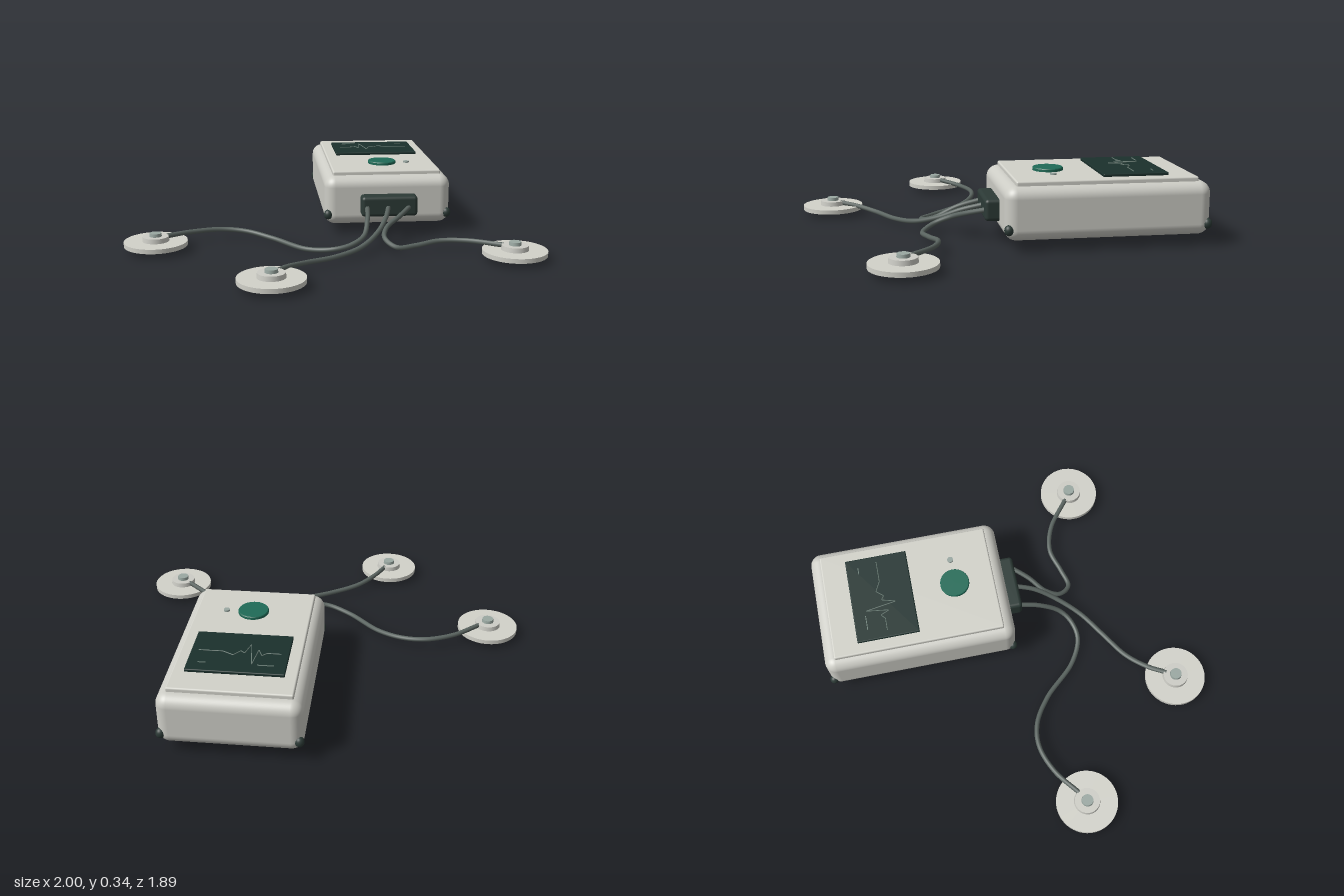
import * as THREE from 'three';
import { RoundedBoxGeometry } from 'three/addons/geometries/RoundedBoxGeometry.js';

const paint = (color) => new THREE.MeshStandardMaterial({ color });
const shell = paint(0xcdcdc6);
const plateMat = paint(0xd2d2ca);
const dark = paint(0x2c3a36);
const glass = paint(0x1b302c);
const green = paint(0x1f6b57);
const metal = paint(0x9aa8a2);
const cableMat = paint(0x59635f);
const traceMat = paint(0x6f827a);

// Centre of the monitor in plan
const CX = 0.312, CZ = -0.466;

export function createModel() {
  const model = new THREE.Group();

  const add = (name, geometry, material, x = 0, y = 0, z = 0, parent = model) => {
    const mesh = new THREE.Mesh(geometry, material);
    mesh.name = name;
    mesh.position.set(x, y, z);
    parent.add(mesh);
    return mesh;
  };
  const vec = (p) => new THREE.Vector3(...p);

  // Housing and raised face plate
  add('housing', new RoundedBoxGeometry(0.644, 0.25, 0.96, 6, 0.055), shell, CX, 0.175, CZ);
  add('facePlate', new RoundedBoxGeometry(0.555, 0.03, 0.85, 3, 0.008), plateMat, CX, 0.305, CZ);

  // Screen with heartbeat trace and status dashes
  add('screen', new RoundedBoxGeometry(0.445, 0.016, 0.31, 3, 0.005), glass, CX, 0.326, -0.61);
  const beat = [
    [0.125, -0.61], [0.19, -0.61], [0.21, -0.63], [0.23, -0.585], [0.245, -0.70], [0.27, -0.545],
    [0.29, -0.615], [0.31, -0.6], [0.34, -0.635], [0.39, -0.61], [0.5, -0.61],
  ];
  const trace = new THREE.CurvePath();
  for (let i = 1; i < beat.length; i++) {
    const [a, b] = [beat[i - 1], beat[i]];
    trace.add(new THREE.LineCurve3(vec([a[0], 0.335, a[1]]), vec([b[0], 0.335, b[1]])));
  }
  add('heartbeatTrace', new THREE.TubeGeometry(trace, 160, 0.0022, 5), traceMat);
  add('leftStatusDash', new THREE.BoxGeometry(0.075, 0.003, 0.004), traceMat, 0.182, 0.335, -0.705);
  add('rightStatusDash', new THREE.BoxGeometry(0.035, 0.003, 0.004), traceMat, 0.467, 0.335, -0.705);

  // Button and indicator lamp
  const profile = (points) => new THREE.LatheGeometry(points.map((p) => new THREE.Vector2(...p)), 48);
  add('button', profile([[0.073, 0], [0.073, 0], [0.073, 0.012], [0.073, 0.012], [0.07, 0.016], [0.07, 0.016], [0, 0.016]]),
    green, CX, 0.319, -0.24);
  add('indicatorLamp', new THREE.CylinderGeometry(0.015, 0.015, 0.01, 24), metal, 0.443, 0.323, -0.24);

  // Cable socket on the front end
  add('cableSocket', new RoundedBoxGeometry(0.285, 0.104, 0.11, 4, 0.018), dark, CX, 0.16, 0.026);

  // Dark studs on the four lower corners
  for (const sx of [-1, 1]) {
    for (const sz of [-1, 1]) {
      const stud = add('cornerStud', new THREE.SphereGeometry(0.022, 20, 14), dark,
        CX + sx * 0.305, 0.105, CZ + sz * 0.463);
      stud.scale.y = 1.15;
    }
  }

  // Electrode pads: thin disc, collar and snap stud
  const pads = [[-0.848, 0.195], [-0.305, 0.787], [0.845, 0.482]];
  pads.forEach(([x, z], i) => {
    const pad = new THREE.Group();
    pad.name = 'electrode' + (i + 1);
    pad.position.set(x, 0, z);
    model.add(pad);
    add('padDisc', new THREE.CylinderGeometry(0.153, 0.153, 0.022, 56), plateMat, 0, 0.036, 0, pad);
    add('padCollar', new THREE.CylinderGeometry(0.062, 0.065, 0.023, 40), shell, 0, 0.058, 0, pad);
    add('snapStud', new THREE.CylinderGeometry(0.028, 0.03, 0.017, 28), metal, 0, 0.077, 0, pad);
  });

  // Lead cables from the socket to each pad
  const cables = [
    [[0.2, 0.16, 0.06], [0.185, 0.125, 0.18], [0.155, 0.07, 0.28], [0.09, 0.042, 0.33], [0, 0.025, 0.343],
      [-0.12, 0.012, 0.285], [-0.28, 0.022, 0.12], [-0.41, 0.038, 0.038], [-0.53, 0.047, 0.022],
      [-0.67, 0.052, 0.07], [-0.8, 0.06, 0.165]],
    [[0.308, 0.16, 0.06], [0.278, 0.13, 0.17], [0.225, 0.085, 0.27], [0.13, 0.045, 0.383],
      [0, 0.03, 0.475], [-0.14, 0.036, 0.565], [-0.23, 0.05, 0.66], [-0.282, 0.06, 0.745]],
    [[0.42, 0.16, 0.06], [0.35, 0.13, 0.15], [0.275, 0.095, 0.225], [0.255, 0.062, 0.3], [0.305, 0.033, 0.36],
      [0.4, 0.034, 0.34], [0.52, 0.045, 0.306], [0.65, 0.052, 0.34], [0.8, 0.06, 0.452]],
  ];
  cables.forEach((points, i) => {
    const path = new THREE.CatmullRomCurve3(points.map(vec));
    add('leadCable' + (i + 1), new THREE.TubeGeometry(path, 110, 0.012, 10), cableMat);
  });

  return model;
}
